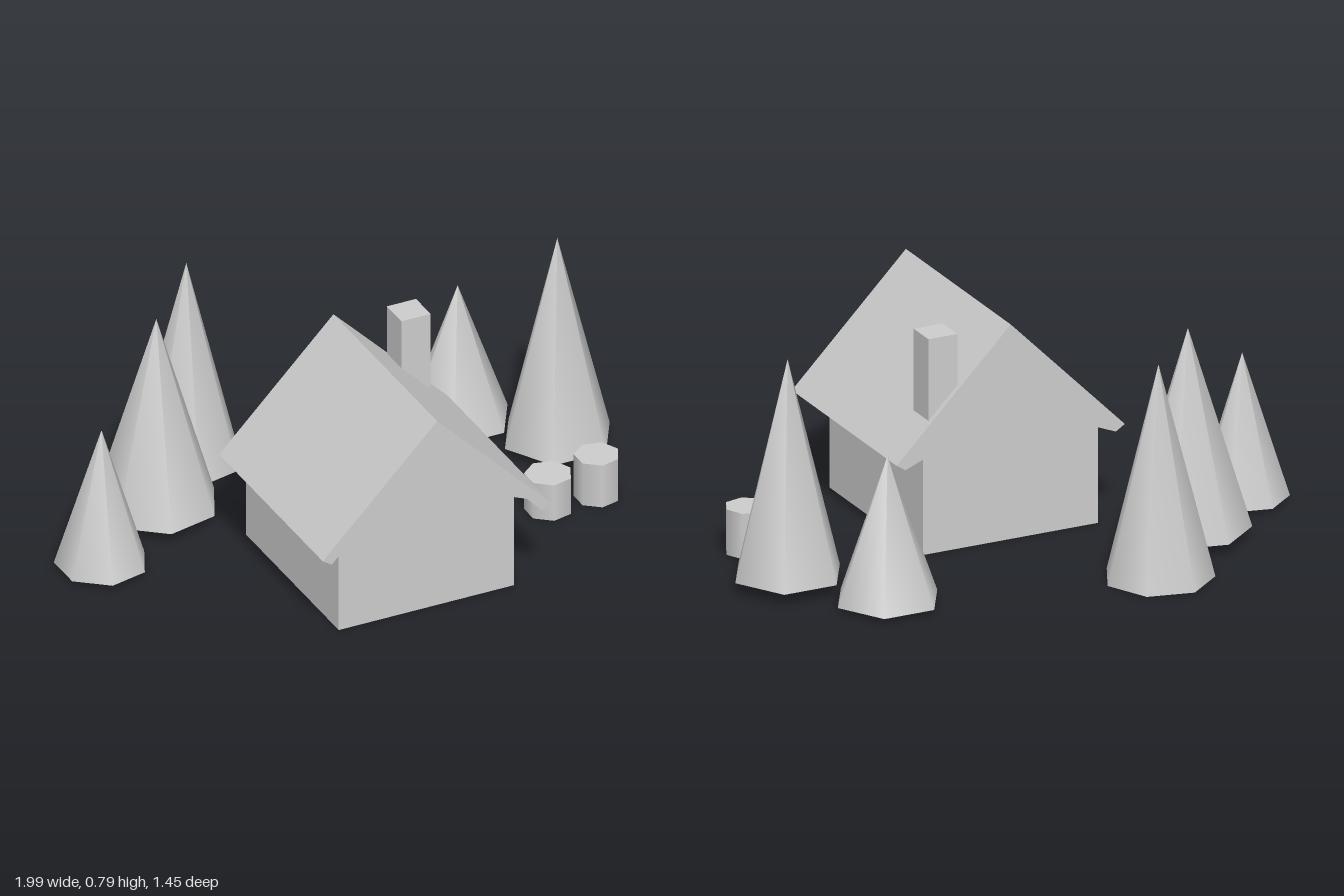
import * as THREE from 'three';

const material = new THREE.MeshStandardMaterial({ color: 0xcccccc });
const RIDGE_X = -0.028;

function add(parent, name, geometry, x = 0, y = 0, z = 0) {
  const mesh = new THREE.Mesh(geometry, material);
  mesh.name = name;
  mesh.position.set(x, y, z);
  parent.add(mesh);
  return mesh;
}

// Symmetric outline from its right half, extruded along z
function mirroredPrism(half, closing, depth) {
  const left = half.map(([x, y]) => [-x, y]).reverse();
  const points = [...half, ...closing, ...left];
  const shape = new THREE.Shape(points.map(([x, y]) => new THREE.Vector2(x, y)));
  return new THREE.ExtrudeGeometry(shape, { depth, bevelEnabled: false });
}

// Round part with few sides and one corner pointing to +x
function tapered(topRadius, bottomRadius, height, sides) {
  const geometry = new THREE.CylinderGeometry(
    topRadius, bottomRadius, height, sides, 1, false, Math.PI / 2);
  return geometry.translate(0, height / 2, 0);
}

export function createModel() {
  const model = new THREE.Group();
  model.name = 'cabinScene';

  // House: walls with gables and sloped soffits, then the overhanging roof
  const house = new THREE.Group();
  house.name = 'house';
  model.add(house);
  const walls = [[0.318, 0], [0.318, 0.333], [0.382, 0.307]];
  add(house, 'walls', mirroredPrism(walls, [[0, 0.71]], 0.675), RIDGE_X, 0, -0.03);

  const roof = new THREE.Shape([
    [0, 0.748], [-0.415, 0.328], [-0.382, 0.307], [0, 0.71],
    [0.382, 0.307], [0.415, 0.328],
  ].map(([x, y]) => new THREE.Vector2(x, y)));
  add(house, 'roof', new THREE.ExtrudeGeometry(roof, { depth: 0.755, bevelEnabled: false }),
    RIDGE_X, 0, -0.031);
  add(house, 'chimney', new THREE.BoxGeometry(0.106, 0.34, 0.106), 0.208, 0.57, 0.043);

  // Trees: x, z, radius, base, apex, sides
  const trees = [
    [-0.855, -0.06, 0.155, 0.016, 0.515, 7],
    [-0.545, -0.283, 0.209, 0.04, 0.733, 7],
    [-0.305, -0.546, 0.185, 0, 0.74, 7],
    [0.588, -0.363, 0.181, 0.016, 0.515, 6],
    [0.806, -0.075, 0.19, 0.042, 0.79, 6],
  ];
  trees.forEach(([x, z, radius, base, apex, sides], i) =>
    add(model, `tree${i + 1}`, tapered(0, radius, apex - base, sides), x, base, z));

  // Tree stumps: x, z, radius, height
  const stumps = [[0.606, 0.262, 0.08, 0.134], [0.783, 0.26, 0.076, 0.158]];
  stumps.forEach(([x, z, radius, height], i) =>
    add(model, `stump${i + 1}`, tapered(radius, radius, height, 7), x, 0, z));

  return model;
}
